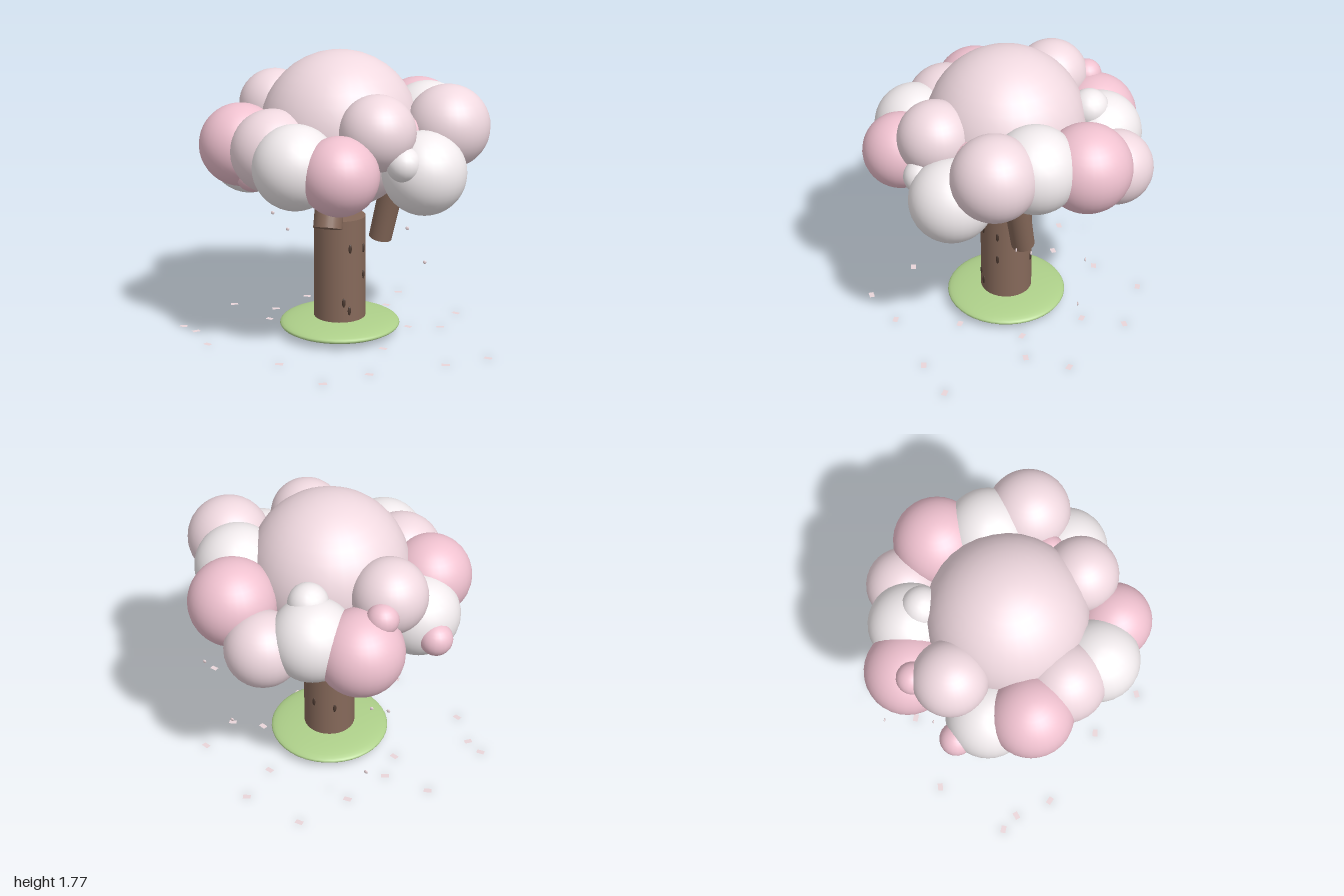
import * as THREE from 'three';

const mat = (color, side = THREE.FrontSide) => new THREE.MeshStandardMaterial({ color, side });

export function createModel() {
  const tree = new THREE.Group();
  tree.name = 'blossomTree';
  const blush = mat(0xf0d9e0), pink = mat(0xf0c2d0), white = mat(0xf2ecee);
  const bark = mat(0x86695a), darkBark = mat(0x4a382f), grass = mat(0xaed08a);
  const stemMat = mat(0xb08868), petalMat = mat(0xead6da, THREE.DoubleSide);

  const add = (name, geometry, material, x, y, z) => {
    const mesh = new THREE.Mesh(geometry, material);
    mesh.name = name;
    mesh.position.set(x, y, z);
    tree.add(mesh);
    return mesh;
  };

  // Grass mound and trunk
  add('grassMound', new THREE.SphereGeometry(0.375, 40, 20), grass, 0, 0.06, 0).scale.y = 0.14;
  add('trunk', new THREE.CylinderGeometry(0.16, 0.162, 0.7, 32), bark, 0, 0.405, 0);

  // Bark knots: angle around the trunk (0 = front, toward +x) and height
  const knotGeo = new THREE.SphereGeometry(0.01, 10, 8);
  const knots = [
    [0.63, 0.58], [1.33, 0.565], [1.33, 0.395], [0.38, 0.235],
    [0.6, 0.18], [2.89, 0.35], [-2.54, 0.32], [2.2, 0.6]
  ];
  for (const [a, y] of knots) {
    const knot = add('barkKnot', knotGeo, darkBark, Math.sin(a) * 0.162, y, Math.cos(a) * 0.162);
    knot.scale.set(1.1, 2.9, 0.7);
    knot.rotation.y = a;
  }

  // Branch stubs: lower end, direction, length, radii
  const branches = [
    [[0, 0.76, 0.32], [0, 0.93, -0.36], 0.4, 0.085, 0.087],
    [[0.23, 0.59, -0.125], [0.22, 0.97, 0.09], 0.48, 0.078, 0.072],
    [[-0.1, 0.72, -0.31], [-0.22, 0.88, 0.42], 0.42, 0.08, 0.083]
  ];
  for (const [base, dir, length, rTop, rBottom] of branches) {
    const d = new THREE.Vector3(...dir).normalize();
    const branch = add('branch', new THREE.CylinderGeometry(rTop, rBottom, length, 24), bark, ...base);
    branch.position.addScaledVector(d, length / 2);
    branch.quaternion.setFromUnitVectors(new THREE.Vector3(0, 1, 0), d);
  }

  // Canopy: centre, radius, colour
  const puffs = [
    [0, 1.295, 0, 0.483, blush],
    [-0.55, 1.23, 0.25, 0.25, pink],
    [-0.31, 1.235, 0.4, 0.25, blush],
    [-0.13, 1.19, 0.57, 0.25, white],
    [0.14, 1.165, 0.618, 0.23, pink],
    [0.31, 1.37, 0.38, 0.225, blush],
    [0.565, 1.12, 0.258, 0.25, white],
    [0.66, 1.347, 0, 0.252, blush],
    [0.5, 1.315, -0.215, 0.258, white],
    [0.395, 1.275, -0.505, 0.264, pink],
    [0.135, 1.125, -0.662, 0.227, blush],
    [-0.13, 1.2, -0.56, 0.25, white],
    [-0.405, 1.155, -0.515, 0.258, pink],
    [-0.47, 1.38, -0.235, 0.225, blush],
    [-0.57, 1.12, 0, 0.25, white]
  ];
  for (const [x, y, z, r, m] of puffs) {
    add('canopyPuff', new THREE.SphereGeometry(r, 32, 20), m, x, y, z);
  }

  // Small blossom clusters
  const blossoms = [
    [0.478, 1.21, 0.445, 0.103, white],
    [-0.735, 1.09, -0.155, 0.1, pink],
    [-0.51, 1.375, -0.45, 0.095, pink],
    [-0.45, 1.07, 0.35, 0.1, pink],
    [-0.075, 1.39, -0.49, 0.12, white],
    [0.34, 1.11, -0.24, 0.1, white],
    [0.44, 1.33, 0.16, 0.1, pink]
  ];
  for (const [x, y, z, r, m] of blossoms) {
    add('blossom', new THREE.SphereGeometry(r, 20, 14), m, x, y, z);
  }

  // Little hanging stems
  for (const [x, y, z] of [[0.34, 1.0, -0.24], [0, 0.98, -0.405], [-0.305, 0.97, 0.2]]) {
    add('stem', new THREE.CylinderGeometry(0.015, 0.015, 0.09, 10), stemMat, x, y, z);
  }

  // Drifting petals
  const driftGeo = new THREE.SphereGeometry(0.012, 10, 8);
  const drifting = [
    [-0.53, 0.63, -0.36], [-0.44, 0.655, -0.405], [-0.52, 0.42, -0.69],
    [0.405, 0.665, -0.1], [0.55, 0.76, -0.2], [0.6, 0.775, -0.52], [0.455, 0.325, -0.48]
  ];
  for (const p of drifting) add('driftingPetal', driftGeo, petalMat, ...p).scale.z = 0.4;

  // Fallen petals: x, z
  const fallGeo = new THREE.PlaneGeometry(0.048, 0.032).rotateX(-Math.PI / 2);
  const fallen = [
    [-0.975, 0.17], [-0.87, 0.235], [-0.73, 0.43], [-0.78, -0.29], [-0.155, -0.845],
    [0.97, 0.27], [0.1, 0.865], [0.67, -0.45], [0.74, 0.43], [-0.22, 0.64],
    [-0.48, -0.08], [-0.49, -0.27], [0.33, 0.26], [0.33, 0.67], [0.23, -0.77],
    [0.41, -0.14], [0.61, -0.18], [-0.35, -0.55], [0.2, -0.5]
  ];
  fallen.forEach(([x, z], i) => {
    add('fallenPetal', fallGeo, petalMat, x, 0.004, z).rotation.y = i === 1 ? 0.7 : Math.sin(i * 2.4) * 0.4;
  });

  return tree;
}
